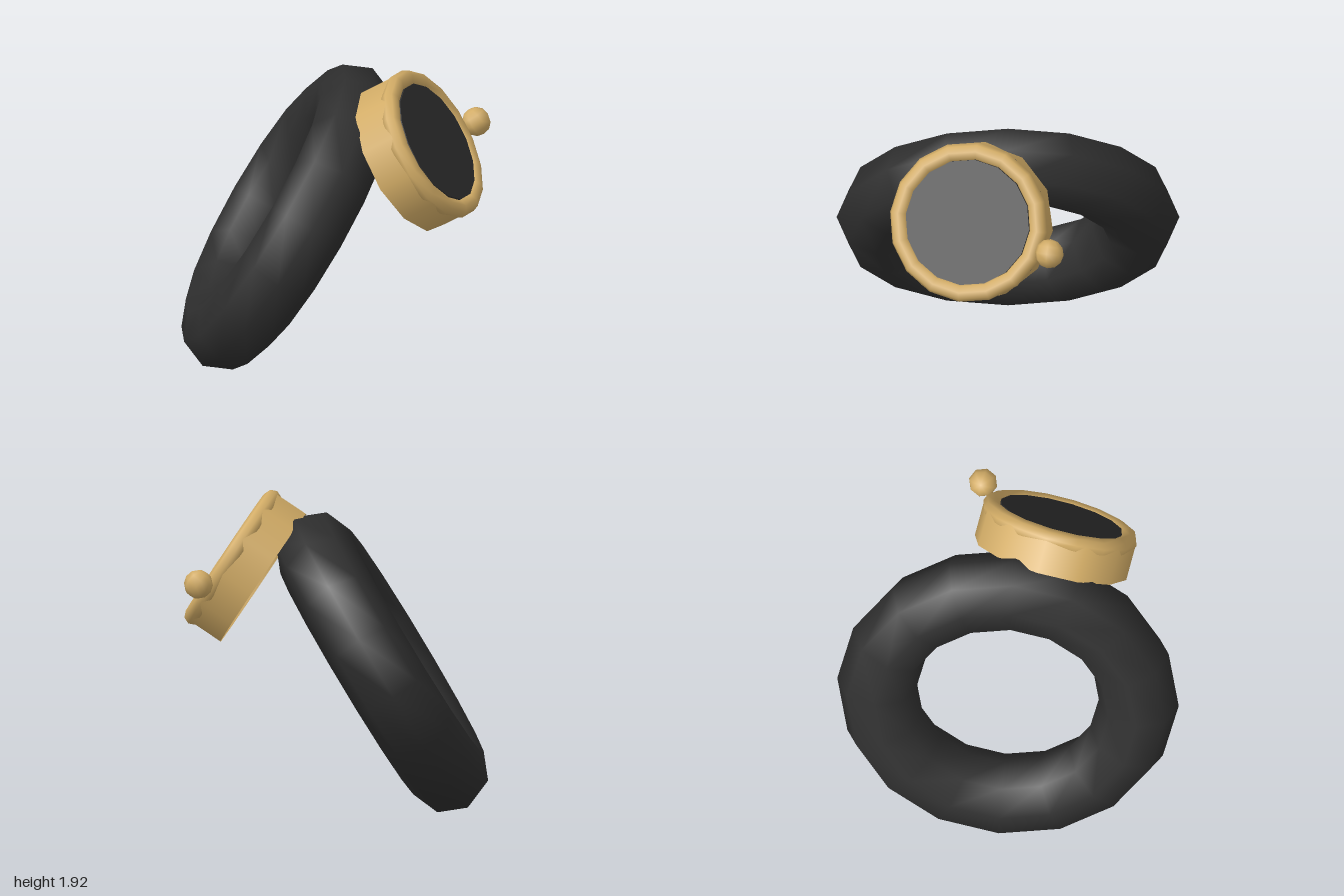
import * as THREE from 'three';

export function createModel() {
  const model = new THREE.Group();
  model.name = 'wristwatch';

  const mat = (name, color, side = THREE.FrontSide) => {
    const m = new THREE.MeshStandardMaterial({ color, side });
    m.name = name;
    return m;
  };
  const gold = mat('gold', 0xd2ac66, THREE.DoubleSide);
  const black = mat('black', 0x2e2e2e);

  const add = (parent, name, geometry, material, x = 0, y = 0, z = 0) => {
    const mesh = new THREE.Mesh(geometry, material);
    mesh.name = name;
    mesh.position.set(x, y, z);
    parent.add(mesh);
    return mesh;
  };

  // Strap: a thick ring, its axis leaning up and back
  const strap = add(model, 'strap', new THREE.TorusGeometry(0.785, 0.24, 8, 16), black);
  strap.lookAt(-0.5, 0.51, -0.69);
  strap.position.set(-0.015, 0.91, -0.18);

  // Watch head: built facing +z, then turned up and to the side
  const head = new THREE.Group();
  head.name = 'watchHead';
  head.lookAt(0.33, 0.54, 0.77);
  head.position.set(0.31, 1.515, 0.67);
  model.add(head);

  // Case wall, open at the back
  const depth = 0.22;
  const wall = new THREE.CylinderGeometry(0.475, 0.475, depth, 12, 1, true).rotateX(Math.PI / 2);
  add(head, 'caseWall', wall, gold, 0, 0, -depth / 2);

  // Bezel ring and the dial inside it
  add(head, 'bezel', new THREE.TorusGeometry(0.426, 0.055, 8, 16), gold);
  const dial = new THREE.CylinderGeometry(0.378, 0.378, 0.04, 16).rotateX(Math.PI / 2);
  add(head, 'dial', dial, black, 0, 0, 0.02);

  // Winding crown beside the case
  const crown = add(model, 'crown', new THREE.SphereGeometry(0.088, 8, 6), gold);
  crown.quaternion.copy(head.quaternion);
  crown.position.set(0.84, 1.455, 0.58);

  return model;
}
